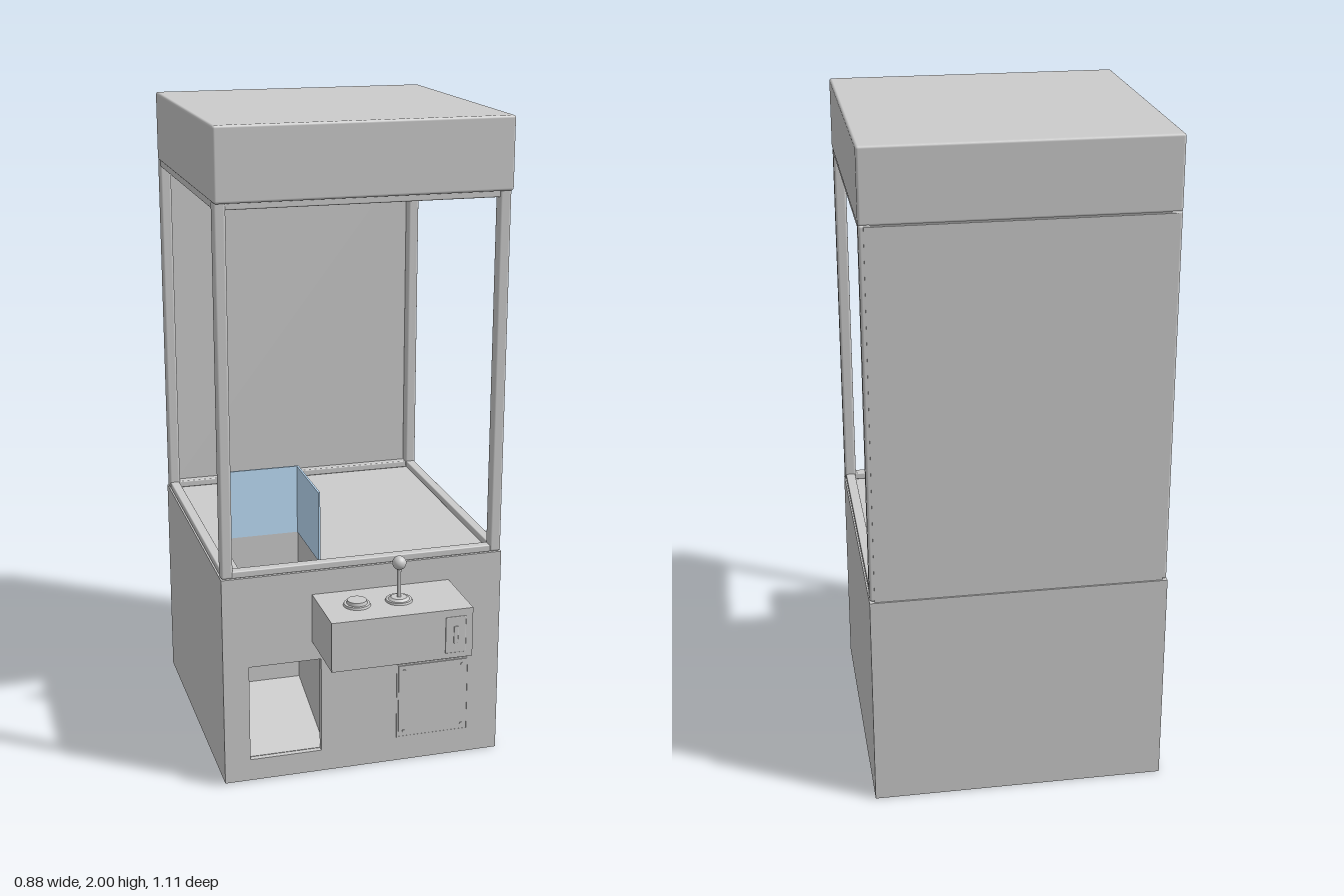
import * as THREE from 'three';
import { RoundedBoxGeometry } from 'three/addons/geometries/RoundedBoxGeometry.js';

const grey = new THREE.MeshStandardMaterial({ color: 0xcccccc });
const blue = new THREE.MeshStandardMaterial({ color: 0xbfe0fb });

export function createModel() {
  const root = new THREE.Group();

  const add = (name, geo, parent = root, mat = grey) => {
    const mesh = new THREE.Mesh(geo, mat);
    mesh.name = name;
    parent.add(mesh);
    return mesh;
  };
  const group = (name) => {
    const g = new THREE.Group();
    g.name = name;
    root.add(g);
    return g;
  };
  // Box given by its limits on each axis; r > 0 rounds the edges
  const box = (name, x0, x1, y0, y1, z0, z1, parent, mat, r = 0) => {
    const s = [x1 - x0, y1 - y0, z1 - z0];
    const geo = r ? new RoundedBoxGeometry(...s, 3, r) : new THREE.BoxGeometry(...s);
    const mesh = add(name, geo, parent, mat);
    mesh.position.set((x0 + x1) / 2, (y0 + y1) / 2, (z0 + z1) / 2);
    return mesh;
  };
  const rect = (x0, x1, y0, y1, Type = THREE.Shape) =>
    new Type([[x0, y0], [x1, y0], [x1, y1], [x0, y1]].map((p) => new THREE.Vector2(...p)));
  const plate = (outer, hole, depth) => {
    const shape = rect(...outer);
    shape.holes.push(rect(...hole, THREE.Path));
    return new THREE.ExtrudeGeometry(shape, { depth, bevelEnabled: false });
  };

  const W = 0.44, F = 0.333, B = -0.553, T = 0.02, H = 0.67;

  // Hollow base cabinet: walls, floor, prize opening and deck with drop hole
  const base = group('baseCabinet');
  for (const s of [-1, 1]) {
    const x = s * (W - T / 2);
    box('sideWall', x - T / 2, x + T / 2, 0, H - T, B, F, base);
  }
  box('backWall', -W + T, W - T, 0, H - T, B, B + T, base);
  box('bottom', -W + T, W - T, 0, T, B + T, F - T, base);
  add('frontWall', plate([-W + T, W - T, 0, H - T], [-0.36, -0.135, 0.07, 0.38], T), base)
    .position.z = F - T;
  const deck = add('deck', plate([-W, W, -F, -B], [-0.37, -0.12, -0.26, 0], T), base);
  deck.rotation.x = -Math.PI / 2;
  deck.position.y = H - T;

  // Prize chute inside the base, with a sloping floor
  const chute = group('prizeChute');
  box('chuteLeftWall', -0.12, -0.11, 0.02, H - T, -0.01, F - T, chute);
  box('chuteRightWall', -0.38, -0.37, 0.02, H - T, -0.01, F - T, chute);
  box('chuteBackWall', -0.37, -0.12, 0.02, H - T, -0.01, 0, chute);
  const ramp = add('chuteRamp', new THREE.BoxGeometry(0.25, 0.008, 0.33), chute);
  ramp.position.set(-0.245, 0.115, 0.157);
  ramp.rotation.x = 0.29;

  // Coloured guards around the drop hole
  const guards = group('dropHoleGuards');
  box('backGuard', -0.37, -0.12, H, 0.89, -0.003, 0.003, guards, blue);
  box('sideGuard', -0.123, -0.117, H, 0.89, -0.003, 0.26, guards, blue);

  // Corner posts and the rails between them
  const frame = group('windowFrame');
  const P = 0.036, zf = 0.312, zb = -0.527, xp = 0.421;
  for (const x of [-xp, xp]) {
    for (const z of [zf, zb])
      box('cornerPost', x - P / 2, x + P / 2, H, 1.79, z - P / 2, z + P / 2, frame, grey, 0.008);
    for (const y of [H, 1.765])
      box('sideRail', x - 0.015, x + 0.015, y, y + 0.022, zb, zf, frame, grey, 0.004);
  }
  for (const z of [zf, zb])
    for (const y of [H, 1.765])
      box('crossRail', -xp, xp, y, y + 0.022, z - 0.015, z + 0.015, frame, grey, 0.004);
  box('backPanel', -0.425, 0.425, H, 1.785, -0.548, -0.54, frame);

  // Top housing
  box('topHousing', -W, W, 1.785, 2, -0.542, 0.345, root, grey, 0.008);

  // Control box on the front
  const controls = group('controlPanel');
  const top = 0.595, front = 0.553;
  box('controlBox', -0.163, 0.27, 0.44, top, F, front, controls);
  box('coinPlate', 0.185, 0.249, 0.457, 0.572, front - 0.004, front + 0.002, controls, grey, 0.0025);
  box('coinSlotRim', 0.21, 0.224, 0.488, 0.542, front, front + 0.004, controls, grey, 0.0015);

  const disc = (name, r0, r1, y0, y1, x) =>
    add(name, new THREE.CylinderGeometry(r1, r0, y1 - y0, 32), controls)
      .position.set(x, (y0 + y1) / 2, 0.443);
  disc('buttonRing', 0.041, 0.039, top, 0.602, -0.055);
  disc('buttonCap', 0.031, 0.029, 0.602, 0.612, -0.055);
  disc('stickBase', 0.041, 0.039, top, 0.601, 0.075);
  disc('stickCollar', 0.032, 0.024, 0.601, 0.607, 0.075);
  disc('stickShaft', 0.006, 0.006, 0.605, 0.705, 0.075);
  add('stickBall', new THREE.SphereGeometry(0.021, 24, 16), controls).position.set(0.075, 0.715, 0.443);

  // Service door with a thin surround and corner screws
  const door = group('serviceDoor');
  add('doorSurround', plate([0.107, 0.343, 0.078, 0.33], [0.112, 0.338, 0.083, 0.325], 0.003), door)
    .position.z = F;
  box('doorPanel', 0.113, 0.337, 0.084, 0.324, F - 0.004, F + 0.004, door);
  for (const x of [0.13, 0.32])
    for (const y of [0.101, 0.307]) {
      const screw = add('doorScrew', new THREE.CylinderGeometry(0.005, 0.005, 0.004, 12), door);
      screw.rotation.x = Math.PI / 2;
      screw.position.set(x, y, F + 0.005);
    }

  return root;
}
